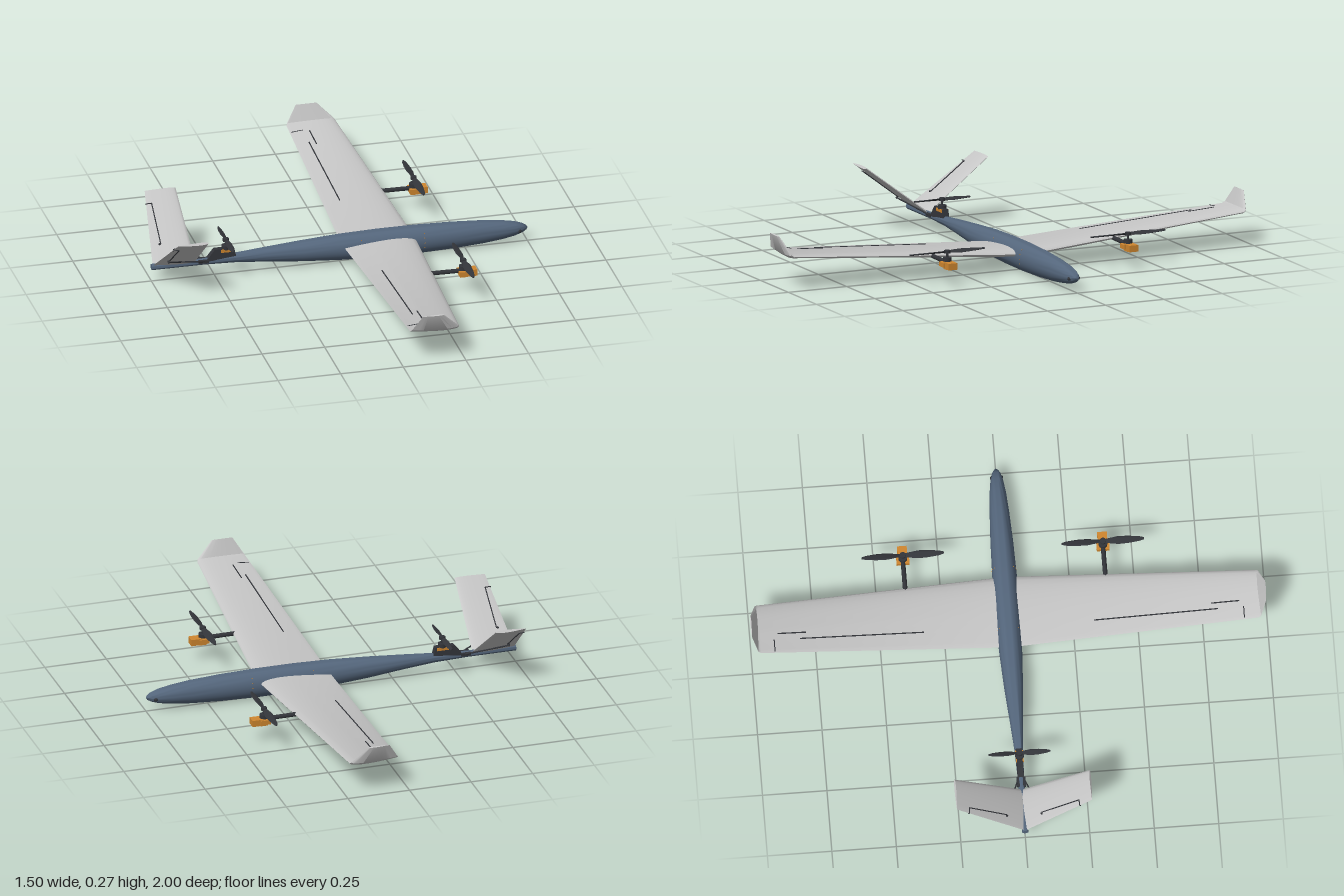
import * as THREE from 'three';
import { toCreasedNormals } from 'three/addons/utils/BufferGeometryUtils.js';

const mat = (name, color) => Object.assign(new THREE.MeshStandardMaterial({ color }), { name });
const V = (x, y, z) => new THREE.Vector3(x, y, z);

// Skin closed rings of points, counter-clockwise about their direction of travel, with flat caps
function loft(rings, crease = 0.6) {
  const pos = [], put = (...ps) => ps.forEach(p => pos.push(p.x, p.y, p.z));
  const n = rings[0].length;
  const mid = r => r.reduce((s, p) => s.add(p), V(0, 0, 0)).divideScalar(n);
  const first = rings[0], last = rings[rings.length - 1], c0 = mid(first), c1 = mid(last);
  for (let i = 0; i < n; i++) {
    const j = (i + 1) % n;
    for (let k = 0; k < rings.length - 1; k++) {
      const a = rings[k], b = rings[k + 1];
      put(a[i], a[j], b[i], a[j], b[j], b[i]);
    }
    put(first[j], first[i], c0, last[i], last[j], c1);
  }
  const g = new THREE.BufferGeometry();
  g.setAttribute('position', new THREE.Float32BufferAttribute(pos, 3));
  return toCreasedNormals(g, crease);
}

// Half thickness of a symmetric aerofoil; s runs from leading edge 0 to trailing edge 1
const foil = (s, t) => 5 * t * (0.2969 * Math.sqrt(s) - 0.126 * s - 0.3516 * s * s + 0.2843 * s ** 3 - 0.1015 * s ** 4);

// Aerofoil section; lean tilts its thickness towards the centre line
function section([z, y, te, le, t, lean]) {
  const N = 24, ring = [];
  for (let i = 0; i < N; i++) {
    const a = i / N * Math.PI * 2, s = (1 - Math.cos(a)) / 2;
    const h = foil(s, t) * (i < N / 2 ? 1 : -1);
    ring.push(V(le + (te - le) * s, y + h * Math.cos(lean), z - h * Math.sin(lean)));
  }
  return ring;
}

// Full-span surface mirrored from half-span stations
function mirroredSurface(stations) {
  const left = stations.slice(1).reverse().map(([z, y, te, le, t, a]) => [-z, y, te, le, t, -a]);
  return loft([...left, ...stations].map(section));
}

export function createModel() {
  const model = new THREE.Group();
  model.name = 'vtolAircraft';
  const blue = mat('slateBlue', 0x55677d);
  const grey = mat('lightGrey', 0xc6c6c6);
  const dark = mat('charcoal', 0x33353a);
  const orange = mat('orange', 0xd0872f);

  const add = (name, geo, material, parent = model, x = 0, y = 0, z = 0) => {
    const m = new THREE.Mesh(geo, material);
    m.name = name;
    m.position.set(x, y, z);
    parent.add(m);
    return m;
  };
  const box = (name, w, h, d, m, p, x, y, z) => add(name, new THREE.BoxGeometry(w, h, d), m, p, x, y, z);
  const cyl = (name, r, h, m, p, x, y, z) => add(name, new THREE.CylinderGeometry(r, r, h, 20), m, p, x, y, z);
  const rod = (name, a, b, r, m = dark, parent = model) => {
    const mesh = add(name, new THREE.CylinderGeometry(r, r, a.distanceTo(b), 8), m, parent);
    mesh.position.copy(a).add(b).multiplyScalar(0.5);
    mesh.quaternion.setFromUnitVectors(V(0, 1, 0), b.clone().sub(a).normalize());
    return mesh;
  };

  // Fuselage stations: x, top, bottom, half width
  const body = [
    [-0.75, 0.075, 0.05, 0.012], [-0.55, 0.075, 0.05, 0.012], [-0.42, 0.084, 0.046, 0.016], [-0.3, 0.094, 0.036, 0.025],
    [-0.15, 0.105, 0.021, 0.037], [0, 0.114, 0.010, 0.045], [0.15, 0.118, 0.004, 0.048], [0.3, 0.118, 0.003, 0.048],
    [0.45, 0.114, 0.007, 0.044], [0.57, 0.107, 0.014, 0.038], [0.65, 0.098, 0.023, 0.032], [0.7, 0.089, 0.032, 0.025],
    [0.73, 0.079, 0.042, 0.017], [0.745, 0.069, 0.051, 0.008], [0.75, 0.061, 0.059, 0.001]];
  const bodyRing = ([x, top, bot, w]) => Array.from({ length: 32 }, (_, i) => {
    const a = i / 32 * Math.PI * 2;
    return V(x, (top + bot) / 2 + Math.cos(a) * (top - bot) / 2, Math.sin(a) * w);
  });
  add('fuselage', loft(body.map(bodyRing), 1), blue);

  // Main wing with dihedral and upturned winglets
  add('wing', mirroredSurface([
    [0, 0.07, 0.01, 0.30, 0.036, 0], [0.965, 0.135, 0.036, 0.232, 0.02, 0.3],
    [0.975, 0.142, 0.04, 0.228, 0.016, 0.9], [0.997, 0.206, 0.08, 0.163, 0.006, 1.2]]), grey);
  const wingPoint = (x, z, side = 1) => {
    const f = Math.abs(z) / 0.965, te = 0.01 + 0.026 * f, le = 0.30 - 0.068 * f;
    return V(x, 0.07 + 0.065 * f + side * foil((le - x) / (le - te), 0.036 - 0.016 * f), z);
  };

  // V-tail
  add('vTail', mirroredSurface([
    [0, 0.067, -0.745, -0.575, 0.016, 0], [0.012, 0.076, -0.743, -0.576, 0.014, 0.64],
    [0.262, 0.264, -0.71, -0.587, 0.011, 0.64]]), grey);
  const tailPoint = (x, z, off) => V(x, 0.067 + Math.abs(z) * 0.752 + off * 0.8, z - off * 0.6 * Math.sign(z));

  // Two-bladed lift propeller with its motor; the origin is on the hub
  const bladeStations = [[0, 0.012, 0.5], [0.03, 0.022, 0.4], [0.06, 0.031, 0.3], [0.1, 0.028, 0.2], [0.14, 0.019, 0.15], [0.16, 0.008, 0.1]];
  const bladeGeo = loft(bladeStations.map(([z, c, twist]) => Array.from({ length: 12 }, (_, i) => {
    const a = i / 12 * Math.PI * 2, u = Math.cos(a) * c / 2, v = Math.sin(a) * 0.003;
    return V(u * Math.cos(twist) - v * Math.sin(twist), u * Math.sin(twist) + v * Math.cos(twist), z);
  })), 1);
  const rotor = (name, x, y, z, scale) => {
    const g = new THREE.Group();
    g.name = name;
    g.position.set(x, y, z);
    for (const turn of [0, Math.PI]) {
      const blade = add('propellerBlade', bladeGeo, dark, g);
      blade.rotation.y = turn;
      blade.scale.set(scale, 1, scale);
    }
    cyl('hub', 0.012, 0.012, dark, g, 0, 0, 0);
    cyl('shaft', 0.004, 0.03, dark, g, 0, -0.015, 0);
    cyl('motor', 0.017, 0.016, dark, g, 0, -0.03, 0);
    model.add(g);
  };

  for (const s of [-1, 1]) {
    // Wing rotor boom and motor mount
    const z = 0.388 * s;
    rod('rotorBoom', V(0.24, 0.094, z), V(0.41, 0.092, z), 0.009);
    box('motorMount', 0.046, 0.026, 0.038, orange, model, 0.424, 0.085, z);
    box('mountBase', 0.04, 0.018, 0.05, orange, model, 0.395, 0.086, z);
    box('mountFoot', 0.03, 0.016, 0.02, orange, model, 0.397, 0.074, z);
    rotor('wingRotor', 0.395, 0.135, z, 1);

    // Aileron gaps on top of the wing
    rod('aileronHinge', wingPoint(0.086, 0.33 * s), wingPoint(0.086, 0.81 * s), 0.0025);
    rod('flapSlot', wingPoint(0.11, 0.785 * s), wingPoint(0.11, 0.895 * s), 0.0025);
    rod('aileronEnd', wingPoint(0.04, 0.91 * s), wingPoint(0.086, 0.91 * s), 0.002);

    // Aileron horn and pushrod under the wing
    const low = wingPoint(0.125, 0.61 * s, -1), aft = wingPoint(0.08, 0.61 * s, -1);
    box('servoHorn', 0.012, 0.018, 0.006, dark, model, low.x, low.y - 0.007, low.z);
    box('aileronHorn', 0.008, 0.018, 0.005, dark, model, aft.x, aft.y - 0.007, aft.z);
    rod('aileronPushrod', low.clone().add(V(0, -0.012, 0)), aft.clone().add(V(0, -0.012, 0)), 0.0025);

    // Ruddervator gap on both faces, with its pushrod
    for (const off of [-0.0045, 0.0045]) {
      rod('ruddervatorHinge', tailPoint(-0.695, 0.07 * s, off), tailPoint(-0.695, 0.215 * s, off), 0.0022);
      rod('ruddervatorEnd', tailPoint(-0.695, 0.215 * s, off), tailPoint(-0.718, 0.215 * s, off * 0.6), 0.002);
    }
    rod('tailPushrod', V(-0.535, 0.067, 0.012 * s), tailPoint(-0.7, 0.07 * s, -0.01), 0.003);
    rod('tailHorn', tailPoint(-0.7, 0.07 * s, -0.014), tailPoint(-0.7, 0.07 * s, 0.008), 0.004);
    box('tailServo', 0.04, 0.012, 0.012, dark, model, -0.545, 0.067, 0.011 * s);

    // Nose sensor and hatch screws
    add('noseSensor', new THREE.SphereGeometry(0.008, 12, 8), dark, model, 0.715, 0.055, 0.018 * s);
    for (const [x, w, c, h] of [[0.08, 0.0468, 0.0615, 0.0545], [0.33, 0.0472, 0.061, 0.0565]])
      for (const a of [-0.35, 0, 0.35, 0.7])
        add('hatchScrew', new THREE.SphereGeometry(0.002, 8, 6), orange, model, x, c + h * Math.sin(a), w * Math.cos(a) * s);
  }

  // Tail rotor pylon, tapered towards the top
  const pylonRing = (y, x0, x1, w) => [V(x0, y, w), V(x1, y, w), V(x1, y, -w), V(x0, y, -w)];
  add('tailPylon', loft([pylonRing(0.066, -0.535, -0.412, 0.013), pylonRing(0.111, -0.5, -0.422, 0.011)], 0.2), dark);
  box('tailMotorMount', 0.046, 0.012, 0.03, orange, model, -0.452, 0.103, 0);
  rotor('tailRotor', -0.453, 0.145, 0, 0.75);

  return model;
}
